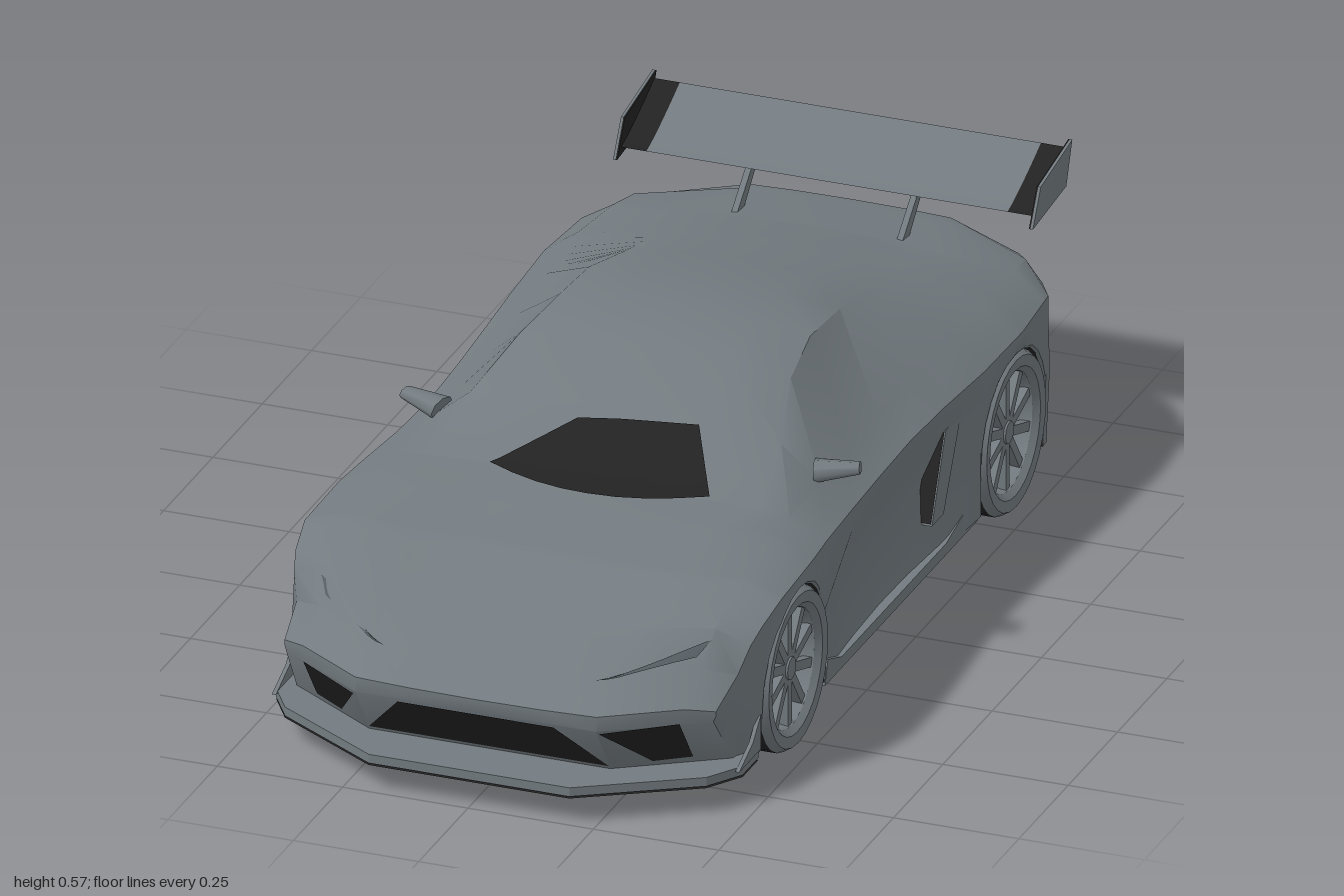
import * as THREE from 'three';
import { toCreasedNormals } from 'three/addons/utils/BufferGeometryUtils.js';

const { lerp, clamp } = THREE.MathUtils;
const AXLES = [0.53, -0.575], HUB_Y = 0.16, ARCH = 0.162;

// Body stations: z, waist x, shoulder x/y, deck x/y, roof edge x/y, centre y
const STATIONS = [
  [0.96, 0.43, 0.43, 0.20, 0.38, 0.21, 0.24, 0.21, 0.205],
  [0.88, 0.44, 0.44, 0.24, 0.38, 0.258, 0.24, 0.25, 0.25],
  [0.76, 0.46, 0.455, 0.29, 0.39, 0.32, 0.24, 0.306, 0.306],
  [0.62, 0.478, 0.475, 0.343, 0.40, 0.368, 0.25, 0.358, 0.36],
  [0.45, 0.475, 0.472, 0.35, 0.40, 0.385, 0.27, 0.383, 0.388],
  [0.36, 0.46, 0.465, 0.35, 0.39, 0.385, 0.33, 0.39, 0.397],
  [0.20, 0.428, 0.455, 0.345, 0.39, 0.385, 0.31, 0.45, 0.47],
  [0.05, 0.418, 0.45, 0.345, 0.385, 0.385, 0.27, 0.512, 0.533],
  [-0.10, 0.415, 0.452, 0.352, 0.385, 0.39, 0.25, 0.53, 0.55],
  [-0.25, 0.425, 0.46, 0.355, 0.39, 0.40, 0.25, 0.52, 0.543],
  [-0.42, 0.468, 0.472, 0.355, 0.40, 0.41, 0.24, 0.482, 0.505],
  [-0.60, 0.478, 0.478, 0.36, 0.41, 0.41, 0.23, 0.446, 0.465],
  [-0.76, 0.468, 0.465, 0.36, 0.40, 0.40, 0.22, 0.415, 0.426],
  [-0.90, 0.435, 0.43, 0.355, 0.39, 0.39, 0.20, 0.406, 0.411],
  [-0.94, 0.41, 0.40, 0.34, 0.36, 0.378, 0.20, 0.396, 0.40],
];

// Nose and tail corners sweep round in plan
function sweep(x, z) {
  const ax = Math.abs(x);
  return z - 0.65 * Math.max(0, ax - 0.24) * clamp((z - 0.72) / 0.16, 0, 1)
    + 0.45 * Math.max(0, ax - 0.22) * clamp((-0.78 - z) / 0.14, 0, 1);
}

// Half cross-section from the underside centre, round the side, to the roof centre
function section(z) {
  let i = 0;
  while (i < STATIONS.length - 2 && z < STATIONS[i + 1][0]) i++;
  const a = STATIONS[i], b = STATIONS[i + 1], t = (z - a[0]) / (b[0] - a[0]);
  const [, wm, ws, ys0, xd, yd, xr, yr, yt] = a.map((v, k) => lerp(v, b[k], t));
  const yb = z > 0.88 ? 0.07 + (z - 0.88) * 1.375 : z < -0.78 ? 0.06 - (z + 0.78) * 0.45 : 0.06;
  let arch = yb;
  for (const c of AXLES) if (Math.abs(z - c) <= ARCH) arch = HUB_Y + Math.sqrt(ARCH ** 2 - (z - c) ** 2);
  const ys = Math.max(ys0, arch + 0.016), ym = Math.max((yb + ys0) / 2, arch + 0.006);
  const xi = z > 0.8 ? 0.24 : 0.3;
  return [[0, yb], [xi, yb], [xi, arch], [ws - 0.004, arch], [wm, ym], [lerp(ws, wm, 0.12), lerp(ys, ym, 0.33)],
    [ws, ys], [xd, yd], [xr, yr], [xr * 0.55, lerp(yr, yt, 0.75)], [0, yt]];
}

// Points lying just proud of the upper body, the nose face and the tail face
function onTop(x, z) {
  const s = section(z), ax = Math.abs(x);
  let k = 6;
  while (k < 9 && s[k + 1][0] > ax) k++;
  const t = (s[k][0] - ax) / (s[k][0] - s[k + 1][0]);
  return [x, lerp(s[k][1], s[k + 1][1], t) + 0.005, sweep(x, z)];
}
const onNose = (x, y) => [x, y, 0.886 + (y - 0.07) * 0.727 - 0.65 * Math.max(0, Math.abs(x) - 0.24)];
const onTail = (x, y) => [x, y, sweep(x, -0.945)];

export function createModel() {
  const car = new THREE.Group();
  car.name = 'sportsCar';
  const colour = (name, color) => {
    const m = new THREE.MeshStandardMaterial({ color, side: THREE.DoubleSide });
    m.name = name;
    return m;
  };
  const paint = colour('greyPaint', 0x737b80);
  const black = colour('blackTrim', 0x222222);
  const lens = colour('lampGrey', 0x565e63);

  const add = (name, geo, mat, parent = car) => {
    const m = new THREE.Mesh(geo, mat);
    m.name = name;
    parent.add(m);
    return m;
  };
  // Grid sheet shaped by a rule over u, v in 0..1
  const sheet = (name, mat, nu, nv, fn) => {
    const g = new THREE.PlaneGeometry(1, 1, nu, nv), p = g.attributes.position;
    for (let i = 0; i < p.count; i++) p.setXYZ(i, ...fn(p.getX(i) + 0.5, p.getY(i) + 0.5));
    g.computeVertexNormals();
    return add(name, g, mat);
  };
  // Four-cornered plate laid on a surface
  const plate = (name, mat, [a, b, c, d], project, bow = 0) => sheet(name, mat, 8, 8, (u, v) => {
    const q = [0, 1].map(k => lerp(lerp(a[k], b[k], u), lerp(d[k], c[k], u), v));
    q[1] += bow * (1 - v) * 4 * u * (1 - u);
    return project(...q);
  });
  // Side-view outline [z, y] extruded across x
  const sideSlab = (name, mat, pts, x, width) => {
    const s = new THREE.Shape(pts.map(([z, y]) => new THREE.Vector2(-z, y)));
    const g = new THREE.ExtrudeGeometry(s, { depth: width, bevelEnabled: false });
    g.translate(0, 0, -width / 2).rotateY(Math.PI / 2);
    add(name, g, mat).position.x = x;
  };

  // Body shell and black underside with wheel wells
  const zs = STATIONS.map(s => s[0]);
  for (const c of AXLES) {
    for (let i = 0; i <= 12; i++) zs.push(c + ARCH * 0.9999 * Math.cos(i * Math.PI / 12));
    zs.push(c + ARCH * 1.002, c - ARCH * 1.002);
  }
  zs.sort((a, b) => b - a);
  const rings = zs.map(z => {
    const half = section(z).map(([x, y]) => [x, y, sweep(x, z)]);
    return [...half, ...half.slice(1, 10).reverse().map(([x, y, w]) => [-x, y, w])];
  });
  const shell = [], under = [];
  const quad = (out, a, b, c, d) => out.push(...a, ...b, ...c, ...a, ...c, ...d);
  for (let i = 0; i < zs.length - 1; i++) {
    for (let j = 0; j < 20; j++) {
      const k = j < 10 ? j : 19 - j, n = (j + 1) % 20;
      const out = k <= 2 && zs[i] < 0.9 && zs[i + 1] < 0.88 ? under : shell;
      quad(out, rings[i][j], rings[i + 1][j], rings[i + 1][n], rings[i][n]);
    }
  }
  // Nose and tail closing faces
  const pairs = [[0, 10], [1, 9], [1, 8], [3, 7], [4, 6]];
  [rings[0], rings[rings.length - 1]].forEach((r, end) => {
    for (const s of [1, -1]) for (let i = 0; i < 4; i++) {
      const at = k => [r[k][0] * s, r[k][1], r[k][2]];
      const q = [at(pairs[i][0]), at(pairs[i + 1][0]), at(pairs[i + 1][1]), at(pairs[i][1])];
      if ((s < 0) !== (end === 1)) q.reverse();
      quad(shell, ...q);
    }
  });
  for (const [name, data, mat] of [['bodyShell', shell, paint], ['underbody', under, black]]) {
    const g = new THREE.BufferGeometry();
    g.setAttribute('position', new THREE.Float32BufferAttribute(data, 3));
    add(name, toCreasedNormals(g, 0.65), mat);
  }

  // Windscreen opening, grille
  plate('windscreen', black, [[-0.205, 0.368], [0.23, 0.36], [0.15, 0.21], [-0.08, 0.24]], onTop, 0.06);
  plate('grille', black, [[-0.24, 0.08], [0.24, 0.08], [0.155, 0.176], [-0.155, 0.176]], onNose);

  // Front splitter, black below
  const outline = [[0.2, 0.995], [0.42, 0.86], [0.465, 0.79], [0.465, 0.71]];
  const splitShape = new THREE.Shape([...outline, ...outline.slice().reverse().map(([x, z]) => [-x, z])]
    .map(([x, z]) => new THREE.Vector2(x, -z)));
  const splitGeo = new THREE.ExtrudeGeometry(splitShape, { depth: 0.018, bevelEnabled: false }).rotateX(-Math.PI / 2);
  add('splitter', splitGeo, paint).position.y = 0.056;
  add('splitterUnderside', new THREE.ShapeGeometry(splitShape).rotateX(-Math.PI / 2), black).position.y = 0.052;

  for (const s of [1, -1]) {
    // Intakes and lamps
    plate('frontIntake', black, [[s * 0.31, 0.085], [s * 0.375, 0.088], [s * 0.375, 0.185], [s * 0.245, 0.176]], onNose);
    plate('headlight', lens, [[s * 0.21, 0.89], [s * 0.37, 0.85], [s * 0.39, 0.80], [s * 0.30, 0.855]], onTop);
    plate('tailLight', lens, [[s * 0.17, 0.30], [s * 0.36, 0.305], [s * 0.36, 0.325], [s * 0.17, 0.315]], onTail);
    // Canards, side skirts, scoop blades
    sideSlab('canard', paint, [[0.81, 0.07], [0.70, 0.07], [0.70, 0.14], [0.74, 0.10]], s * 0.462, 0.008);
    sideSlab('sideSkirt', paint, [[0.365, 0.052], [0.35, 0.10], [0.28, 0.075], [-0.25, 0.075], [-0.39, 0.11], [-0.41, 0.052]],
      s * 0.45, 0.024);
    sideSlab('scoopBlade', paint, [[-0.19, 0.135], [-0.26, 0.30], [-0.345, 0.315], [-0.25, 0.135]], s * 0.442, 0.03);
    // Mirrors
    const pod = new THREE.CylinderGeometry(0.018, 0.034, 0.085, 8).rotateZ(-Math.PI / 2).scale(1, 0.6, 1);
    const mirror = add('mirror', pod, paint);
    mirror.position.set(s * 0.413, 0.405, 0.175);
    mirror.rotation.set(0, s * 0.25, s * 0.12);
    if (s < 0) mirror.scale.x = -1;
    const stalk = add('mirrorStalk', new THREE.BoxGeometry(0.05, 0.012, 0.02), paint);
    stalk.position.set(s * 0.375, 0.39, 0.175);
    stalk.rotation.z = s * 0.3;
    // Wing supports and end plates, black on the inner face
    sideSlab('wingSupport', paint, [[-0.76, 0.41], [-0.80, 0.41], [-0.89, 0.497], [-0.85, 0.485]], s * 0.165, 0.012);
    const endPlate = [[-0.80, 0.47], [-0.97, 0.485], [-1.0, 0.567], [-0.84, 0.54]];
    sideSlab('wingEndPlate', paint, endPlate, s * 0.416, 0.005);
    sideSlab('wingEndPlateInner', black, endPlate, s * 0.412, 0.003);
  }
  // Dark mouth of the left scoop
  sheet('scoopMouth', black, 1, 1, (u, v) => [lerp(0.425, 0.456, u), lerp(0.14, 0.30, v), lerp(-0.188, -0.256, v)]);

  // Rear wing: grey upper skin with black tips, black lower skin
  const wing = (name, mat, x0, x1, sag) => sheet(name, mat, 4, 8, (u, v) =>
    [lerp(x0, x1, u), 0.488 + 0.067 * v ** 1.2 - sag * Math.sin(Math.PI * v), -0.82 - 0.17 * v]);
  wing('wingTop', paint, -0.36, 0.36, 0);
  wing('wingTipRight', black, -0.412, -0.36, 0);
  wing('wingTipLeft', black, 0.36, 0.412, 0);
  wing('wingUnderside', black, -0.412, 0.412, 0.018);

  // Rounded rear bumper, diffuser and two clusters of fins
  sheet('rearBumper', paint, 16, 6, (u, v) => {
    const x = lerp(-0.4, 0.4, u);
    return [x, lerp(0.135, 0.285, v), sweep(x, -0.935 - 0.03 * Math.sin(Math.PI * v))];
  });
  sideSlab('diffuser', black, [[-0.75, 0.062], [-0.85, 0.062], [-0.90, 0.13], [-0.80, 0.13]], 0, 0.72);
  for (const s of [1, -1]) for (const x of [0.1, 0.19, 0.28]) {
    sideSlab('diffuserFin', black, [[-0.78, 0.06], [-0.915, 0.062], [-0.96, 0.15], [-0.90, 0.16]], s * x, 0.012);
  }

  // Wheels: grey sidewall and ten spokes, black tread and wheel centre
  const lathe = pts => toCreasedNormals(
    new THREE.LatheGeometry(pts.map(p => new THREE.Vector2(...p)), 28).rotateZ(-Math.PI / 2), 0.6);
  const sidewall = lathe([[0.16, 0.054], [0.15, 0.07], [0.128, 0.068], [0.117, 0.056], [0.112, 0.02]]);
  const tread = lathe([[0.001, -0.07], [0.148, -0.07], [0.16, -0.054], [0.16, 0.054]]);
  const disc = new THREE.CircleGeometry(0.114, 28).rotateY(Math.PI / 2).translate(0.022, 0, 0);
  const spoke = new THREE.BoxGeometry(0.018, 0.1, 0.019).translate(0.044, 0.066, 0);
  const hub = new THREE.CylinderGeometry(0.022, 0.028, 0.03, 12).rotateZ(-Math.PI / 2).translate(0.042, 0, 0);
  for (const z of AXLES) for (const s of [1, -1]) {
    const wheel = new THREE.Group();
    wheel.name = (z > 0 ? 'front' : 'rear') + (s > 0 ? 'LeftWheel' : 'RightWheel');
    add('sidewall', sidewall, paint, wheel);
    add('tread', tread, black, wheel);
    add('wheelCentre', disc, black, wheel);
    add('hub', hub, paint, wheel);
    for (let i = 0; i < 10; i++) add('spoke', spoke, paint, wheel).rotation.x = i * Math.PI / 5;
    wheel.position.set(s * 0.404, HUB_Y, z);
    wheel.scale.x = s;
    car.add(wheel);
  }
  return car;
}
